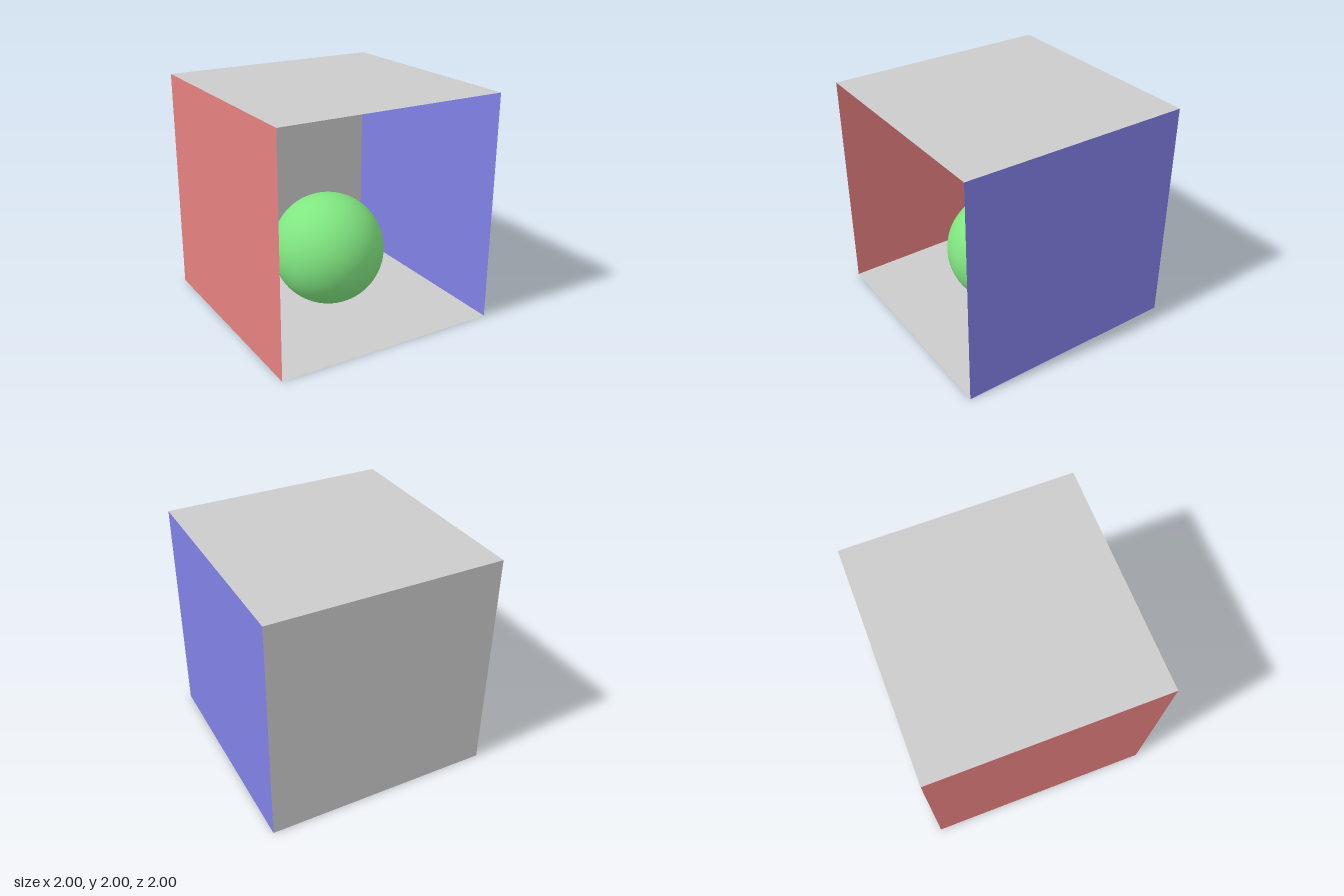
import * as THREE from 'three';

export function createModel() {
  const model = new THREE.Group();
  const wallGeometry = new THREE.PlaneGeometry(2, 2);

  const material = (color) =>
    new THREE.MeshStandardMaterial({ color, side: THREE.DoubleSide });
  const grey = material(0xcccccc);

  // One thin square wall, turned to face the inside of the room
  function addWall(name, position, rotation, mat) {
    const wall = new THREE.Mesh(wallGeometry, mat);
    wall.name = name;
    wall.position.set(...position);
    wall.rotation.set(...rotation);
    model.add(wall);
  }

  // Open-fronted room
  const q = Math.PI / 2;
  addWall('floor', [0, 0, 0], [-q, 0, 0], grey);
  addWall('ceiling', [0, 2, 0], [q, 0, 0], grey);
  addWall('backWall', [0, 1, -1], [0, 0, 0], grey);
  addWall('leftWall', [1, 1, 0], [0, -q, 0], material(0x8080e6));
  addWall('rightWall', [-1, 1, 0], [0, q, 0], material(0xe68080));

  // Ball resting on the middle of the floor
  const ball = new THREE.Mesh(
    new THREE.SphereGeometry(0.5, 64, 32),
    new THREE.MeshStandardMaterial({ color: 0x80e680 })
  );
  ball.name = 'ball';
  ball.position.y = 0.5;
  model.add(ball);

  return model;
}
